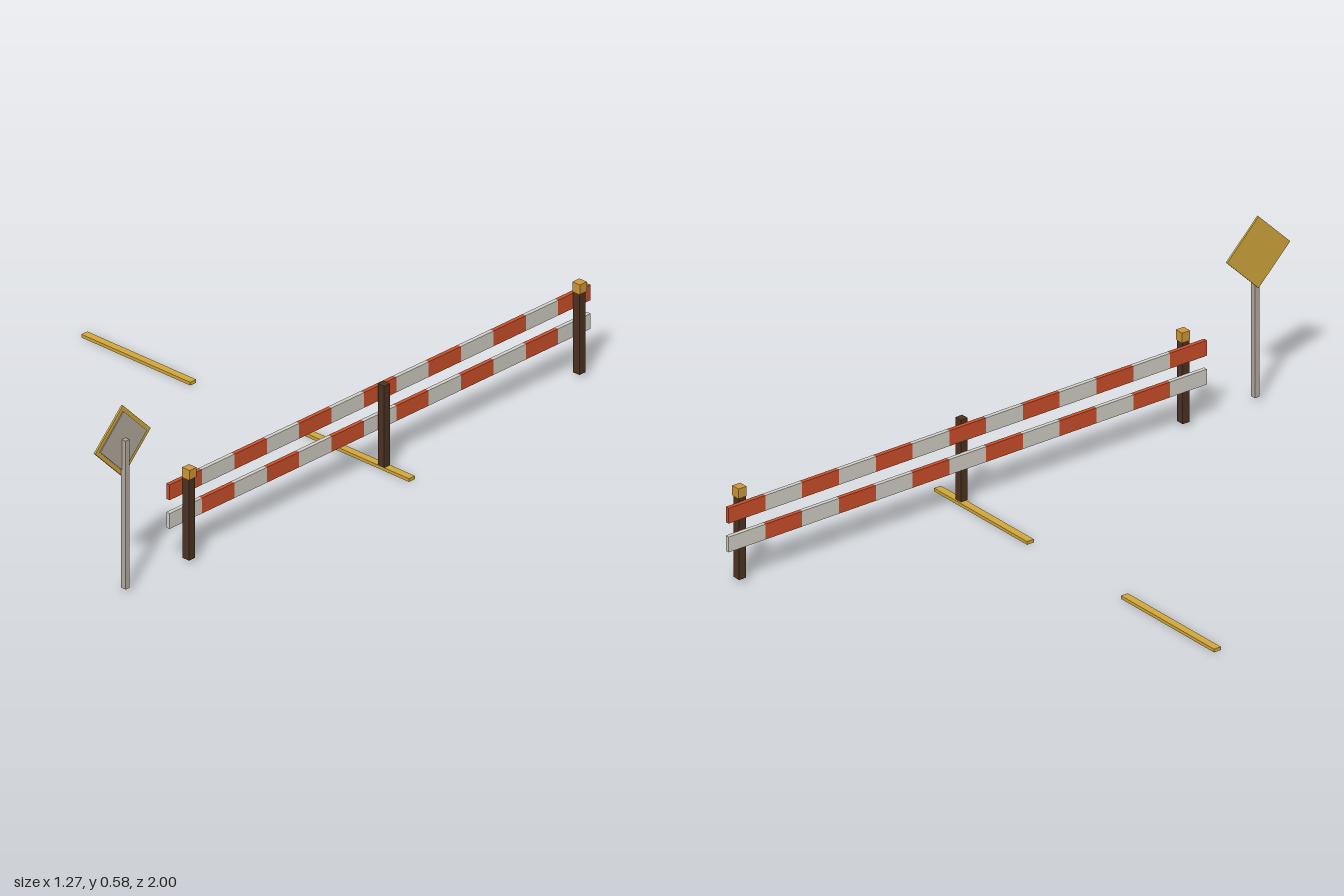
import * as THREE from 'three';

const mat = (color) => new THREE.MeshStandardMaterial({ color, flatShading: true });

export function createModel() {
  const model = new THREE.Group();
  model.name = 'roadBarrier';
  const red = mat(0xcc4f2a), white = mat(0xd2cfc6), wood = mat(0x4d3322);
  const yellow = mat(0xd2a83c), amber = mat(0xcf9838), metal = mat(0xb5aca0);

  // Box given by its lower and upper limits on each axis
  const box = (name, material, [x0, x1], [y0, y1], [z0, z1], parent = model) => {
    const mesh = new THREE.Mesh(new THREE.BoxGeometry(x1 - x0, y1 - y0, z1 - z0), material);
    mesh.position.set((x0 + x1) / 2, (y0 + y1) / 2, (z0 + z1) / 2);
    mesh.name = name;
    parent.add(mesh);
    return mesh;
  };

  // Two rails of alternating stripes, offset by one stripe
  const count = 13, zFront = 0.695, step = 1.695 / count;
  [['upperRail', 0.21, 0], ['lowerRail', 0.12, 1]].forEach(([name, y, shift]) => {
    const rail = new THREE.Group();
    rail.name = name;
    for (let i = 0; i < count; i++) {
      const z = zFront - i * step;
      const isRed = (i + shift) % 2 === 0;
      box(isRed ? 'redStripe' : 'whiteStripe', isRed ? red : white,
        [0.501, 0.514], [y, y + 0.048], [z - step, z], rail);
    }
    model.add(rail);
  });

  // Wooden posts behind the rails, with warning lamps on the end ones
  for (const z of [0.634, -0.152, -0.938]) {
    box('post', wood, [0.517, 0.542], [0.012, 0.268], [z - 0.012, z + 0.012]);
    if (z !== -0.152) box('warningLamp', amber, [0.517, 0.546], [0.267, 0.297], [z - 0.014, z + 0.014]);
  }

  // Road marking strips on the ground
  for (const s of [-1, 1]) {
    const xs = [0.213 * s, 0.635 * s].sort((a, b) => a - b);
    box('roadStrip', yellow, xs, [0, 0.01], [-0.167, -0.143]);
  }

  // Diamond sign: yellow plate with a smaller grey backing, on a metal post
  const sign = new THREE.Group();
  sign.name = 'diamondSign';
  const plate = (name, material, x0, x1, half) => {
    const s = half / Math.SQRT2;
    box(name, material, [x0, x1], [-s, s], [-s, s], sign);
  };
  plate('signPlate', yellow, 0.513, 0.519, 0.112);
  plate('signBacking', metal, 0.518, 0.522, 0.094);
  sign.rotation.x = Math.PI / 4;
  sign.position.set(0, 0.469, 0.888);
  model.add(sign);
  box('signPost', metal, [0.52, 0.537], [0.012, 0.478], [0.88, 0.896]);

  return model;
}
